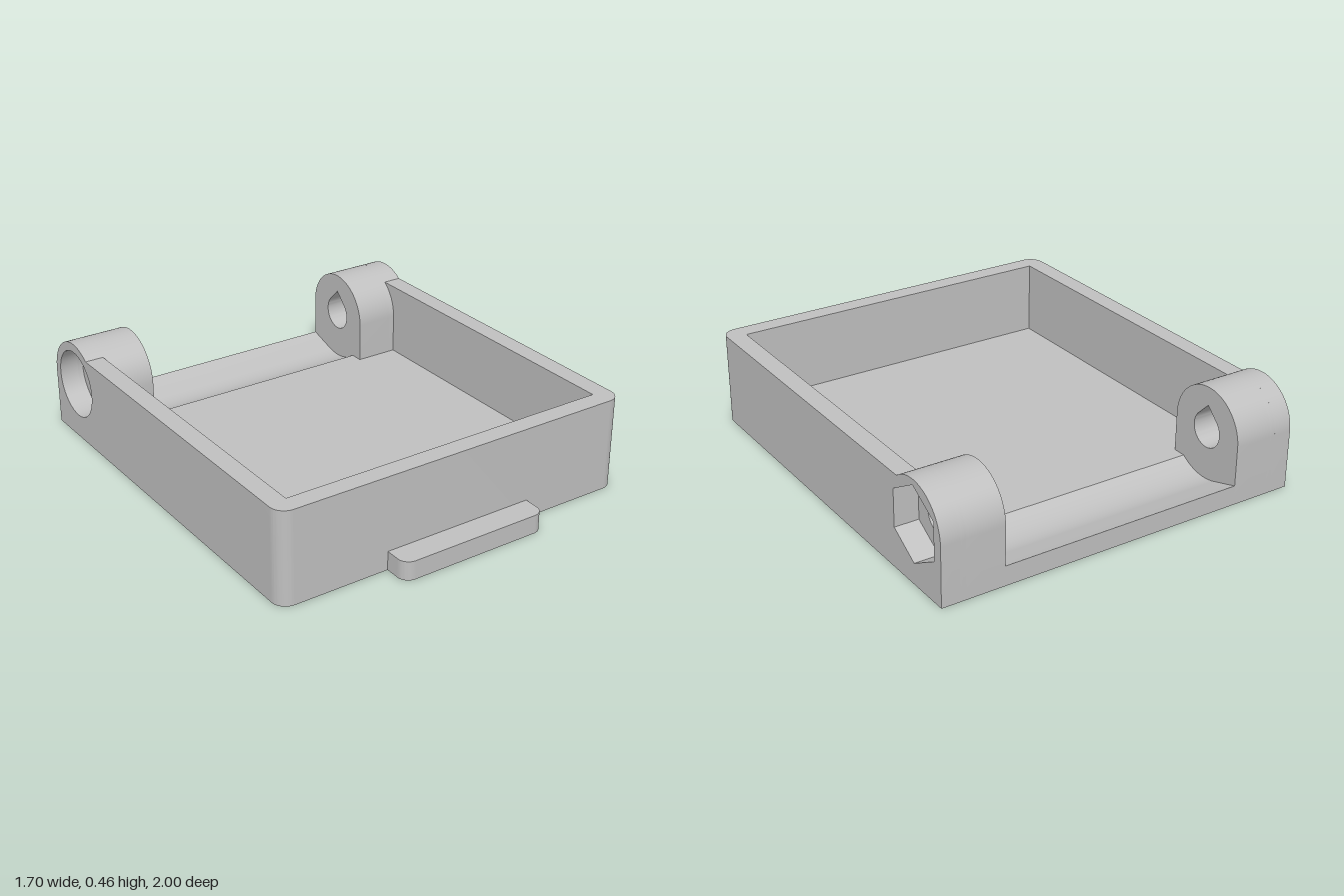
import * as THREE from 'three';
import { toCreasedNormals } from 'three/addons/utils/BufferGeometryUtils.js';

const W = 0.85, IN = 0.765;         // outer and inner half widths
const FRONT = 0.885, INFRONT = 0.8; // outer and inner front
const H = 0.42, FLOOR = 0.085;      // wall height and floor thickness
const AZ = -0.805, AY = 0.265, R = 0.195; // hinge axis and radius
const JOIN = AZ + R;                // front plane of the hinge blocks
const KNUCKLE = 0.565, RECESS = 0.74;

export function createModel() {
  const group = new THREE.Group();
  const grey = new THREE.MeshStandardMaterial({ color: 0xc0c0c0 });
  grey.name = 'plainGrey';

  const add = (name, geo) => {
    const mesh = new THREE.Mesh(toCreasedNormals(geo, 0.5), grey);
    mesh.name = name;
    group.add(mesh);
  };
  const extrude = (shape, depth) =>
    new THREE.ExtrudeGeometry(shape, { depth, bevelEnabled: false, curveSegments: 20 });
  // side profile (z, y) swept from x0 to x1
  const sweepX = (name, shape, x0, x1) =>
    add(name, extrude(shape, x1 - x0).rotateY(-Math.PI / 2).translate(x1, 0, 0));
  // plan outline (x, -z) raised from the ground
  const raise = (name, shape, height) => add(name, extrude(shape, height).rotateX(-Math.PI / 2));

  // walls: U-shaped plan with rounded front corners
  const r = 0.065, wall = new THREE.Shape();
  wall.moveTo(-W, -JOIN);
  wall.lineTo(-W, -FRONT + r);
  wall.absarc(-W + r, -FRONT + r, r, Math.PI, Math.PI * 1.5);
  wall.absarc(W - r, -FRONT + r, r, Math.PI * 1.5, Math.PI * 2);
  wall.lineTo(W, -JOIN);
  wall.lineTo(IN, -JOIN);
  wall.lineTo(IN, -INFRONT);
  wall.lineTo(-IN, -INFRONT);
  wall.lineTo(-IN, -JOIN);
  raise('trayWalls', wall, H);

  // floor
  add('trayFloor', new THREE.BoxGeometry(IN * 2, FLOOR, INFRONT - JOIN)
    .translate(0, FLOOR / 2, (INFRONT + JOIN) / 2));

  // hollowed clearance between the hinge blocks
  const edge = -0.67, C = Math.hypot(edge - AZ, FLOOR - AY), tilt = 0.293;
  const trough = new THREE.Shape();
  trough.moveTo(-1, 0);
  trough.lineTo(JOIN, 0);
  trough.lineTo(JOIN, FLOOR);
  trough.lineTo(edge, FLOOR);
  trough.absarc(AZ, AY, C, Math.atan2(FLOOR - AY, edge - AZ), -Math.PI / 2 - tilt, true);
  trough.lineTo(-1, 0.089);
  sweepX('hingeTrough', trough, -KNUCKLE, KNUCKLE);

  // front finger tab
  const t = 0.05, T = 0.352, tab = new THREE.Shape();
  tab.moveTo(-T, -FRONT);
  tab.lineTo(-T, -1 + t);
  tab.absarc(-T + t, -1 + t, t, Math.PI, Math.PI * 1.5);
  tab.absarc(T - t, -1 + t, t, Math.PI * 1.5, Math.PI * 2);
  tab.lineTo(T, -FRONT);
  raise('fingerTab', tab, FLOOR);

  // hinge block profiles: plain, or merged with the side wall
  const block = (hole, withWall) => {
    const s = new THREE.Shape();
    const y = withWall ? H : AY;
    s.moveTo(-1, 0);
    s.lineTo(JOIN, 0);
    s.lineTo(JOIN, y);
    s.absarc(AZ, AY, R, Math.asin((y - AY) / R), Math.PI, false);
    s.holes.push(hole);
    return s;
  };
  const teardrop = new THREE.Path();
  teardrop.absarc(AZ, AY, 0.08, Math.PI * 0.75, Math.PI * 2.25, false);
  teardrop.lineTo(AZ, AY + 0.08 * Math.SQRT2);
  teardrop.closePath();
  const hexagon = new THREE.Path();
  hexagon.setFromPoints(Array.from({ length: 6 }, (_, i) => {
    const a = Math.PI / 6 + i * Math.PI / 3;
    return new THREE.Vector2(AZ + 0.17 * Math.cos(a), AY + 0.17 * Math.sin(a));
  }));
  hexagon.closePath();
  const circle = new THREE.Path();
  circle.absarc(AZ, AY, 0.155, 0, Math.PI * 2, false);

  // nut recess on the left block, round bolt-head recess on the right
  for (const [side, sign, recess] of [['left', 1, hexagon], ['right', -1, circle]]) {
    const layer = (part, shape, a, b) =>
      sweepX(side + part, shape, Math.min(sign * a, sign * b), Math.max(sign * a, sign * b));
    layer('HingeKnuckle', block(teardrop, false), KNUCKLE, RECESS);
    layer('HingeRecess', block(recess, false), RECESS, IN);
    layer('HingeOuterWall', block(recess, true), IN, W);
  }
  return group;
}
